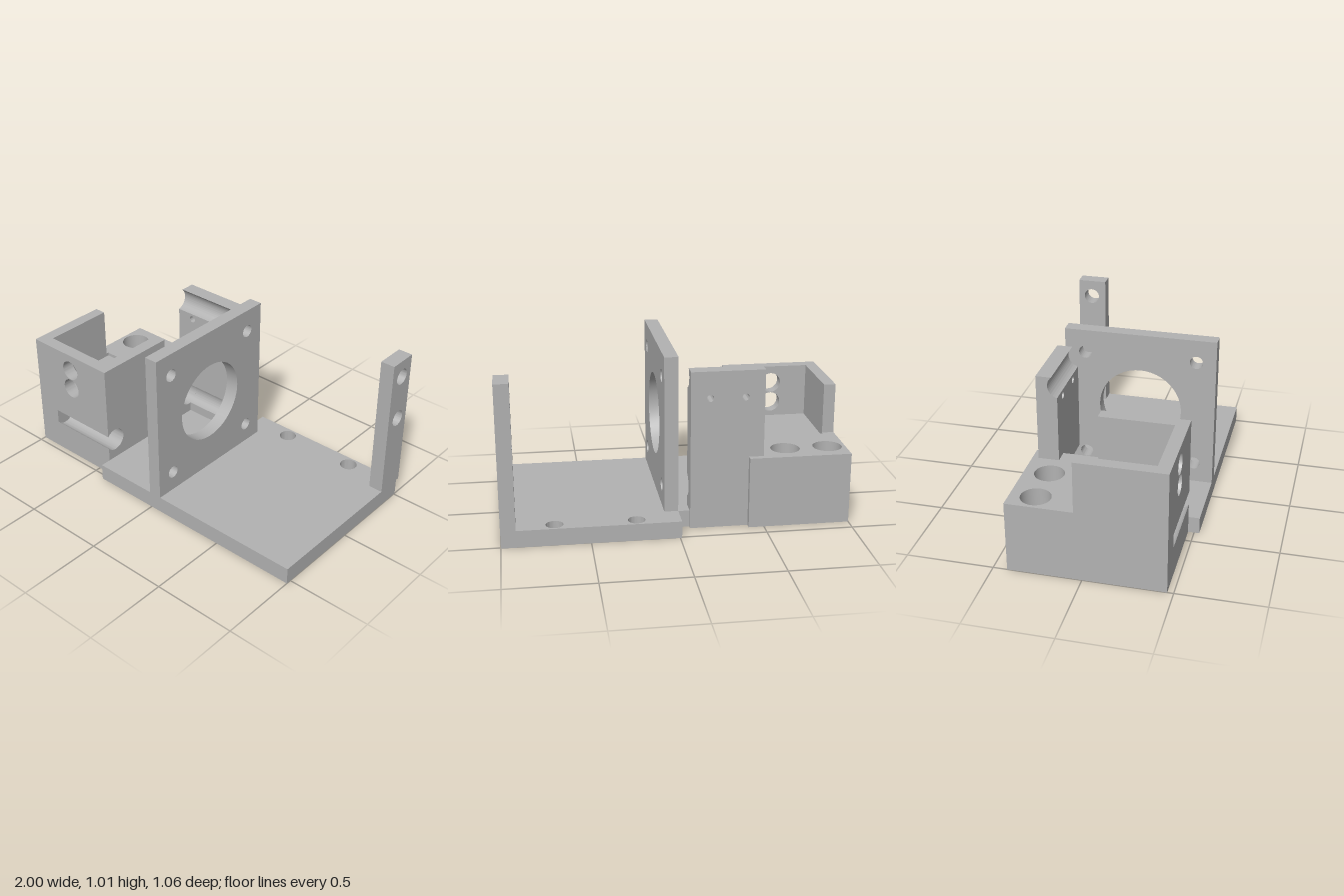
import * as THREE from 'three';
import { toCreasedNormals } from 'three/addons/utils/BufferGeometryUtils.js';

export function createModel() {
  const model = new THREE.Group();
  model.name = 'motorBracket';
  const grey = new THREE.MeshStandardMaterial({ color: 0xb2b2b2 });
  grey.name = 'plain grey';

  const add = (name, geometry) => {
    const mesh = new THREE.Mesh(geometry, grey);
    mesh.name = name;
    model.add(mesh);
  };
  const box = (name, x0, x1, y0, y1, z0, z1) => {
    const g = new THREE.BoxGeometry(x1 - x0, y1 - y0, z1 - z0);
    add(name, g.translate((x0 + x1) / 2, (y0 + y1) / 2, (z0 + z1) / 2));
  };
  // polygon with round holes given as [u, v, radius]
  const poly = (points, holes = []) => {
    const s = new THREE.Shape(points.map(([u, v]) => new THREE.Vector2(u, v)));
    for (const [u, v, r] of holes) s.holes.push(new THREE.Path().absarc(u, v, r, 0, Math.PI * 2, true));
    return s;
  };
  const rect = (u0, u1, v0, v1, holes) => poly([[u0, v0], [u1, v0], [u1, v1], [u0, v1]], holes);
  // extrude a shape from a to b along an axis: x uses (-z, y), y uses (x, -z), z uses (x, y)
  const extrude = (name, shape, axis, a, b) => {
    let g = new THREE.ExtrudeGeometry(shape, { depth: b - a, bevelEnabled: false, curveSegments: 24 });
    g.translate(0, 0, a);
    if (axis === 'x') g.rotateY(Math.PI / 2);
    if (axis === 'y') g.rotateX(-Math.PI / 2);
    add(name, toCreasedNormals(g, 0.5));
  };

  // stepped base plate with two mounting holes
  extrude('basePlate', poly(
    [[-0.41, -0.53], [1, -0.53], [1, 0.51], [-0.01, 0.51], [-0.01, 0.36], [-0.41, 0.36]],
    [[0.24, 0.45, 0.05], [0.7, 0.45, 0.05]]), 'y', 0, 0.1);

  // upright motor plate with a large bore and four screw holes
  const screws = [];
  for (const u of [-0.415, 0.237]) for (const v of [0.222, 0.876]) screws.push([u, v, 0.038]);
  extrude('motorPlate', rect(-0.53, 0.357, 0.1, 1.012, [[-0.09, 0.55, 0.243], ...screws]), 'x', -0.01, 0.07);

  // side post, overhanging the back of the base
  extrude('sidePost', rect(0.357, 0.532, 0.1, 0.95, [[0.448, 0.845, 0.048], [0.448, 0.57, 0.048]]), 'x', 0.915, 1);

  // rear of the block: counterbored holes, then a bore for the rod
  const bores = r => [[-0.895, 0.275, r], [-0.645, 0.275, r]];
  extrude('blockRearFloor', rect(-1, -0.55, 0.055, 0.42, bores(0.049)), 'y', 0, 0.1);
  extrude('blockRear', rect(-1, -0.55, 0.055, 0.42, bores(0.085)), 'y', 0.1, 0.42);
  const rodY = 0.226, rodR = 0.07;
  extrude('blockRodSocket', rect(0.055, 0.42, 0, 0.42, [[0.25, rodY, rodR]]), 'x', -0.55, -0.41);

  // front of the block with an open rod groove
  const a = Math.PI - Math.acos(0.055 / rodR);
  const front = poly([[-0.465, 0], [0.055, 0], [0.055, 0.4], [-0.465, 0.4]]);
  front.lineTo(-0.465, rodY + rodR * Math.sin(a));
  front.absarc(-0.41, rodY, rodR, a, -a, true);
  extrude('blockFront', front, 'x', -0.855, -0.41);
  box('blockFrontEnd', -1, -0.855, 0, 0.4, -0.055, 0.465);

  // pocket walls
  for (const [x0, x1] of [[-1, -0.93], [-0.485, -0.41]]) {
    box('pocketSideWall', x0, x1, 0.4, 0.72, -0.04, 0.465);
    box('pocketSill', x0, x1, 0.4, 0.42, -0.055, -0.04);
  }
  extrude('pocketFrontWall', rect(-0.93, -0.485, 0.4, 0.72,
    [[-0.707, 0.615, 0.061], [-0.707, 0.49, 0.061]]), 'z', 0.39, 0.465);

  // rod clamp plate: lower groove, screw strip, upper groove
  const c = Math.acos(0.015 / rodR);
  const lower = poly([[0.265, 0], [0.385, 0], [0.385, 0.72], [0.265, 0.72]]);
  lower.absarc(0.25, rodY, rodR, c, -c, true);
  extrude('clampLower', lower, 'x', -0.41, -0.075);
  box('clampTab', -0.495, -0.41, 0.42, 0.72, -0.385, -0.265);
  extrude('clampScrewStrip', rect(-0.495, -0.075, 0.72, 0.805,
    [[-0.385, 0.775, 0.02], [-0.185, 0.775, 0.02]]), 'z', -0.385, -0.265);
  const upper = poly([[0.265, 0.805], [0.385, 0.805], [0.385, 0.93], [0.297, 0.93]]);
  upper.absarc(0.25, 0.878, rodR, Math.atan2(0.052, 0.047), -c, true);
  extrude('clampUpper', upper, 'x', -0.495, -0.075);

  return model;
}
